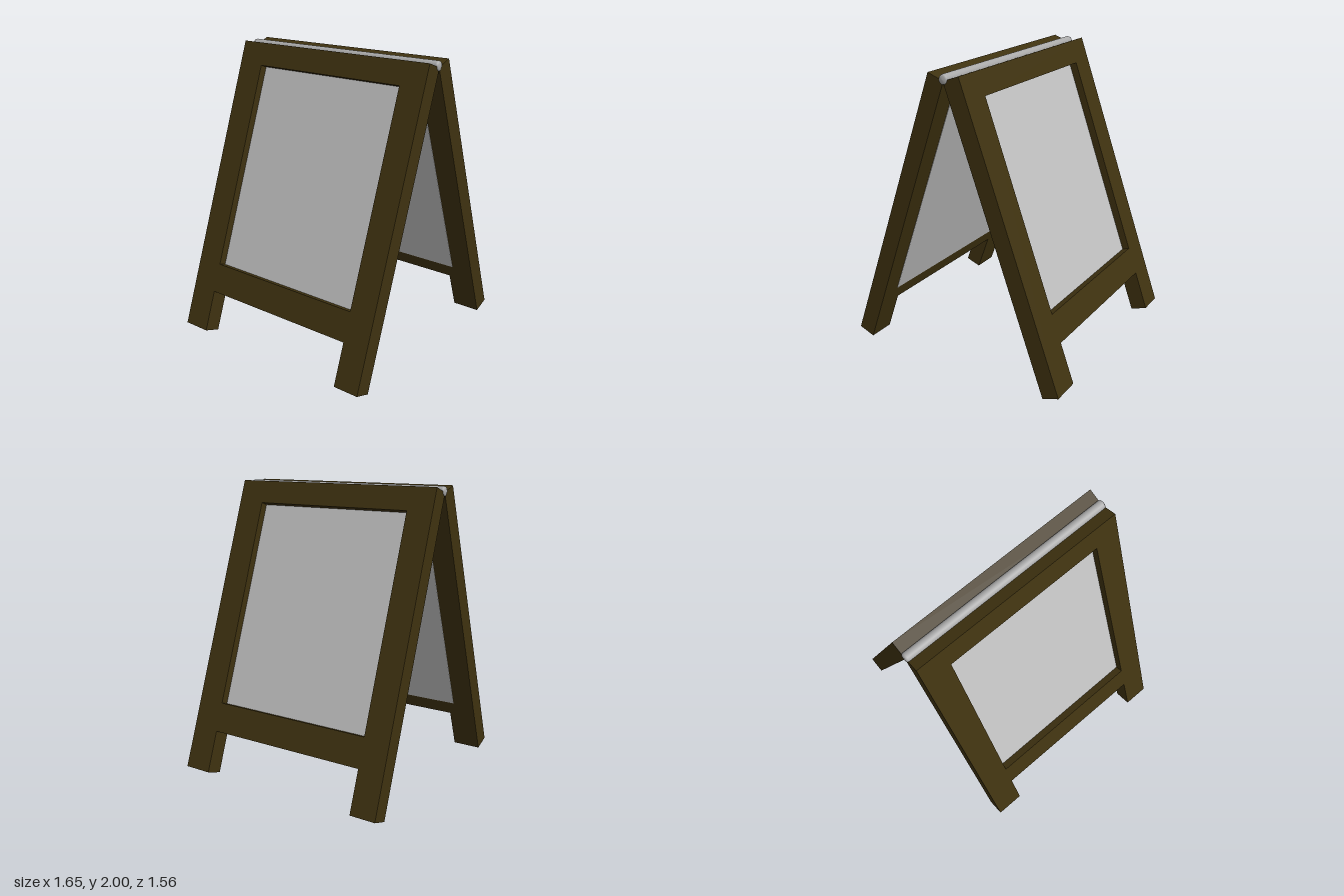
import * as THREE from 'three';

const TILT = THREE.MathUtils.degToRad(20);
const THICK = 0.122;   // frame thickness
const HALF = 0.77;     // half width of a leaf
const HEIGHT = 2.083;  // leaf length along the slope
const OPEN = { left: -0.573, right: 0.589, bottom: 0.487, top: 1.924 };
const RAIL_BOTTOM = 0.288;

const toPoints = (list) => list.map(([x, y]) => new THREE.Vector2(x, y));

// One tilted leaf: a frame with two feet and an inset board, facing +x
function createLeaf(name, wood, boardGrey) {
  const { left, right, bottom, top } = OPEN;
  const outline = new THREE.Shape(toPoints([
    [-HALF, 0], [left, 0], [left, RAIL_BOTTOM], [right, RAIL_BOTTOM],
    [right, 0], [HALF, 0], [HALF, HEIGHT], [-HALF, HEIGHT],
  ]));
  outline.holes.push(new THREE.Path(toPoints([
    [left, bottom], [left, top], [right, top], [right, bottom],
  ])));
  const frame = new THREE.Mesh(
    new THREE.ExtrudeGeometry(outline, { depth: THICK, bevelEnabled: false }), wood);
  frame.name = 'frame';

  // Board is recessed outside, and laps over the frame inside
  const lap = 0.04, lapBottom = 0.1, lapTop = 0.05;
  const width = right - left + 2 * lap;
  const height = top - bottom + lapBottom + lapTop;
  const depth = 0.071;
  const board = new THREE.Mesh(new THREE.BoxGeometry(width, height, depth), boardGrey);
  board.position.set((left + right) / 2, bottom - lapBottom + height / 2, depth / 2 - 0.002);
  board.name = 'board';

  const leaf = new THREE.Group();
  leaf.add(frame, board);
  leaf.rotation.set(-TILT, Math.PI / 2, 0, 'YXZ');
  leaf.position.x = 0.71;

  const pivot = new THREE.Group();
  pivot.name = name;
  pivot.add(leaf);
  return pivot;
}

export function createModel() {
  const wood = new THREE.MeshStandardMaterial({ color: 0x3f3210 });
  wood.name = 'dark wood';
  const boardGrey = new THREE.MeshStandardMaterial({ color: 0xc2c2c2 });
  boardGrey.name = 'board grey';
  const metal = new THREE.MeshStandardMaterial({ color: 0xaaaaaa });
  metal.name = 'hinge metal';

  const model = new THREE.Group();
  model.name = 'sandwichBoard';

  // Two leaves, the second turned half a circle
  const leftLeaf = createLeaf('leftLeaf', wood, boardGrey);
  const rightLeaf = createLeaf('rightLeaf', wood, boardGrey);
  rightLeaf.rotation.y = Math.PI;
  model.add(leftLeaf, rightLeaf);

  // Hinge rod with softly rounded ends
  const profile = toPoints([
    [0, -0.778], [0.02, -0.776], [0.03, -0.77], [0.033, -0.76],
    [0.033, 0.76], [0.03, 0.77], [0.02, 0.776], [0, 0.778],
  ]);
  const hinge = new THREE.Mesh(new THREE.LatheGeometry(profile, 24), metal);
  hinge.rotation.x = Math.PI / 2;
  hinge.position.y = 1.967;
  hinge.name = 'hingeRod';
  model.add(hinge);

  return model;
}
